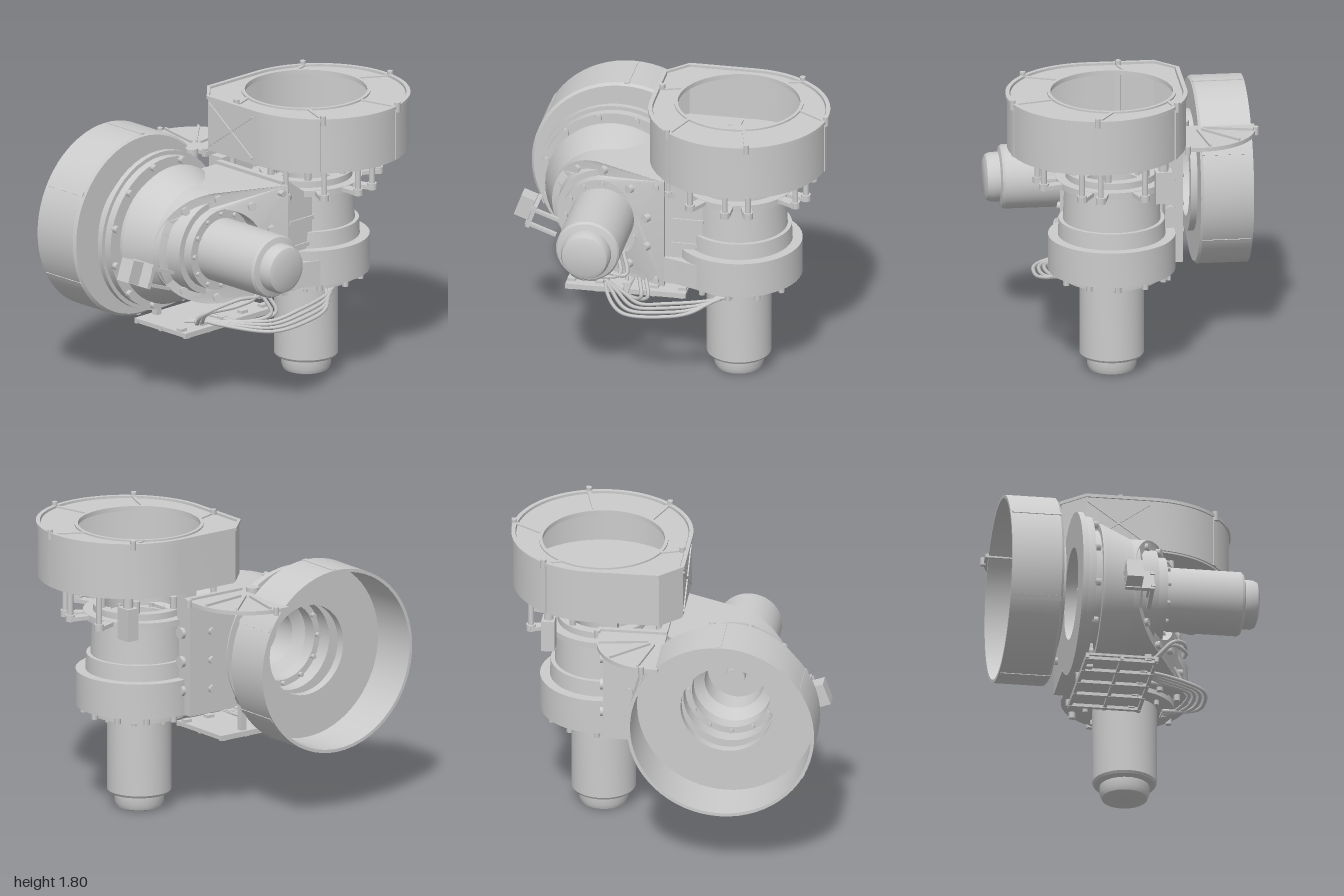
import * as THREE from 'three';
import { toCreasedNormals } from 'three/addons/utils/BufferGeometryUtils.js';

const mat = new THREE.MeshStandardMaterial({ color: 0xcccccc, side: THREE.DoubleSide });

function add(parent, name, geo, x = 0, y = 0, z = 0) {
  const m = new THREE.Mesh(geo, mat);
  m.name = name;
  m.position.set(x, y, z);
  parent.add(m);
  return m;
}
function group(name, x = 0, y = 0, z = 0) {
  const g = new THREE.Group();
  g.name = name;
  g.position.set(x, y, z);
  return g;
}
const points = list => list.map(p => new THREE.Vector2(...p));
const lathe = (pts, n = 48) => toCreasedNormals(new THREE.LatheGeometry(points(pts), n), 0.5);
const box = (parent, name, w, h, d, x, y, z) => add(parent, name, new THREE.BoxGeometry(w, h, d), x, y, z);
const cyl = (parent, name, r, h, x, y, z, n = 12) => add(parent, name, new THREE.CylinderGeometry(r, r, h, n), x, y, z);
const extrude = (shape, depth) =>
  toCreasedNormals(new THREE.ExtrudeGeometry(shape, { depth, bevelEnabled: false, curveSegments: 40 }), 0.5);
// extruded upwards from height y; the shape's y axis runs to the back
function slab(parent, name, shape, y, h) {
  add(parent, name, extrude(shape, h), 0, y, 0).rotation.x = -Math.PI / 2;
}
// calls fn for n places around the local y axis
function ring(n, r, fn, start = 0) {
  for (let i = 0; i < n; i++) {
    const a = start + i / n * Math.PI * 2;
    fn(r * Math.cos(a), r * Math.sin(a), a);
  }
}
function bolts(parent, n, r, y, h = 0.03, size = 0.02, start = 0) {
  ring(n, r, (x, z) => cyl(parent, 'bolt', size, h, x, y, z, 6), start);
}
function motor(parent) {
  add(parent, 'motor', lathe([[0, 0], [0.11, 0], [0.138, 0.012], [0.15, 0.04], [0.15, 0.09], [0.185, 0.1],
    [0.195, 0.115], [0.195, 0.62], [0, 0.62]], 36));
}

// Upright unit: motor below, gearbox, and posts that carry the drum
function uprightUnit() {
  const g = group('uprightUnit', 0.41, 0, 0.115);
  motor(g);
  add(g, 'gearbox', lathe([[0.19, 0.6], [0.3, 0.6], [0.3, 0.64], [0.385, 0.65], [0.385, 0.87], [0.325, 0.87],
    [0.32, 0.97], [0.295, 0.97], [0.285, 1.2], [0.34, 1.2], [0.34, 1.24], [0.28, 1.24], [0.28, 1.28],
    [0.22, 1.28], [0.22, 1.2], [0.17, 1.2], [0.17, 1.02], [0, 1.02]]));
  cyl(g, 'hub', 0.06, 0.1, 0, 1.06, 0, 20);
  bolts(g, 12, 0.34, 0.63, 0.05);
  bolts(g, 8, 0.24, 0.59, 0.04, 0.016);
  bolts(g, 12, 0.195, 1.21, 0.03, 0.012);
  bolts(g, 6, 0.25, 1.31, 0.09, 0.022, 0.2);
  for (const deg of [-20, 15, 30, 72, 90, 120, 150, 215]) ring(1, 0.45, (x, z, a) => {
    cyl(g, 'drumPost', 0.018, 0.22, x, 1.325, z);
    cyl(g, 'postFoot', 0.03, 0.04, x, 1.23, z);
    box(g, 'postArm', 0.17, 0.025, 0.06, x * 0.83, 1.225, z * 0.83).rotation.y = -a;
  }, deg * Math.PI / 180);
  box(g, 'sensorBody', 0.08, 0.2, 0.1, 0.3, 1.26, -0.28);
  cyl(g, 'sensorTop', 0.03, 0.1, 0.3, 1.39, -0.28);
  return g;
}

// Level unit: same kind of motor, wider flange and an open drum at the back
function levelUnit() {
  const g = group('levelUnit', -0.41, 0.97, 0.8);
  g.rotation.x = -Math.PI / 2;
  motor(g);
  add(g, 'gearbox', lathe([[0.19, 0.58], [0.25, 0.58], [0.25, 0.64], [0.29, 0.64], [0.3, 0.74], [0.345, 0.76],
    [0.35, 0.8], [0.43, 0.98], [0.43, 1.0], [0.39, 1.0], [0.39, 1.05], [0.47, 1.05], [0.47, 1.1], [0.495, 1.1],
    [0.495, 1.135], [0.28, 1.135], [0.28, 1.04], [0.24, 1.04], [0.24, 0.95], [0.18, 0.9], [0.18, 0.75], [0, 0.75]]));
  cyl(g, 'hub', 0.06, 0.12, 0, 0.8, 0, 20);
  bolts(g, 12, 0.225, 0.575, 0.03, 0.015);
  bolts(g, 12, 0.45, 1.04, 0.04, 0.024, 0.26);
  bolts(g, 12, 0.26, 1.05, 0.03, 0.015);
  add(g, 'openDrum', lathe([[0.28, 1.275], [0.28, 1.22], [0.37, 1.22], [0.37, 1.26], [0.555, 1.26], [0.57, 1.275],
    [0.57, 1.58], [0.55, 1.58], [0.545, 1.275], [0.28, 1.275]], 64));
  ring(6, 0.566, (x, z, a) => { box(g, 'drumRib', 0.015, 0.3, 0.03, x, 1.42, z).rotation.y = -a; }, 0.5);
  // bolts standing on the sloped housing face
  ring(10, 0.31, (x, z) => {
    cyl(g, 'faceBolt', 0.026, 0.04, x, 0.8 - 0.56 * (x + 0.35), z, 8).rotation.z = -0.51;
  }, 0.3);
  return g;
}

// Drum outline seen from above: a circle with a chamfered outlet corner
function drumOutline(inset, Type = THREE.Shape) {
  const s = new Type(), r = 0.54 - inset;
  s.moveTo(0.43, -0.21 + r);
  s.absarc(0.43, -0.21, r, Math.PI / 2, -Math.PI, true);
  s.lineTo(-0.11 + inset, 0.2);
  s.lineTo(0.02, 0.33 - inset);
  s.closePath();
  return s;
}
function pierced(shape, hole) {
  shape.holes.push(hole);
  return shape;
}
const circle = (r, Type = THREE.Path) => new Type().absarc(0.41, -0.115, r, 0, Math.PI * 2, false);

function upperDrum() {
  const g = group('upperDrum');
  slab(g, 'drumWall', pierced(drumOutline(0), drumOutline(0.015, THREE.Path)), 1.44, 0.33);
  slab(g, 'drumFloor', pierced(drumOutline(0.01), circle(0.22)), 1.43, 0.02);
  slab(g, 'floorRing', pierced(circle(0.3, THREE.Shape), circle(0.22)), 1.42, 0.05);
  slab(g, 'drumCover', pierced(drumOutline(0.02), circle(0.37)), 1.755, 0.012);
  slab(g, 'drumRim', pierced(drumOutline(-0.01), drumOutline(0.015, THREE.Path)), 1.76, 0.02);
  slab(g, 'coverLip', pierced(circle(0.39, THREE.Shape), circle(0.37)), 1.75, 0.028);
  // ribs on the cover, lugs on the rim and strips down the wall
  for (const a of [0.1, 1.3, 2.3, 3.5, 5.3]) {
    const c = Math.cos(a), s = Math.sin(a);
    const x0 = 0.41 + 0.38 * c, z0 = 0.115 + 0.38 * s, x1 = 0.43 + 0.53 * c, z1 = 0.21 + 0.53 * s;
    box(g, 'coverRib', Math.hypot(x1 - x0, z1 - z0), 0.012, 0.02, (x0 + x1) / 2, 1.77, (z0 + z1) / 2)
      .rotation.y = -Math.atan2(z1 - z0, x1 - x0);
    cyl(g, 'rimLug', 0.018, 0.06, 0.43 + 0.545 * c, 1.77, 0.21 + 0.545 * s, 8);
    box(g, 'wallStrip', 0.02, 0.32, 0.035, 0.43 + 0.537 * c, 1.6, 0.21 + 0.537 * s).rotation.y = -a;
  }
  for (const t of [-1, 1]) box(g, 'outletBrace', 0.015, 0.012, 0.46, -0.11, 1.6, 0).rotation.x = t * 0.62;
  return g;
}

// Housing that joins both units, its front sloping away to the outer side
function housing(parent) {
  const s = new THREE.Shape();
  s.moveTo(0, 1.32);
  s.lineTo(0, 0.62);
  s.lineTo(-0.41, 0.62);
  s.absarc(-0.41, 0.97, 0.35, -Math.PI / 2, -Math.PI * 1.5, true);
  s.holes.push(new THREE.Path().absarc(-0.41, 0.97, 0.245, 0, Math.PI * 2, false));
  const geo = new THREE.ExtrudeGeometry(s, { depth: 1, bevelEnabled: false, curveSegments: 24 });
  const p = geo.attributes.position;
  for (let i = 0; i < p.count; i++) {
    p.setZ(i, p.getZ(i) > 0.5 ? Math.min(0.38, 0.56 * (p.getX(i) + 0.76)) : -0.22);
  }
  add(parent, 'slopedHousing', toCreasedNormals(geo, 0.5));
  const bridge = new THREE.Shape(points([[-0.02, 0.63], [0.23, 0.63], [0.23, 1.22], [0.16, 1.24], [0.02, 1.34], [-0.02, 1.34]]));
  add(parent, 'bridgeHousing', extrude(bridge, 0.57), 0, 0, -0.22);
  // lower gearbox band carried across to the bridge
  slab(parent, 'lowerBand', new THREE.Shape(points([[0, -0.37], [0.1, -0.4], [0.3, -0.48], [0.41, -0.49],
    [0.41, 0.25], [0, 0.22]])), 0.65, 0.16);
  box(parent, 'housingRib', 0.2, 0.025, 0.03, 0.14, 0.9, 0.345);
  box(parent, 'housingRib', 0.2, 0.025, 0.03, 0.14, 1.06, 0.345);
  for (const y of [0.66, 1.28]) cyl(parent, 'housingBolt', 0.02, 0.04, -0.05, y, 0.38, 6).rotation.x = Math.PI / 2;
  box(parent, 'rearBracket', 0.34, 0.7, 0.11, 0.19, 1.0, -0.27);
  for (const y of [0.8, 0.98, 1.16]) {
    cyl(parent, 'bracketBoss', 0.035, 0.03, 0.37, y, -0.25).rotation.z = Math.PI / 2;
    cyl(parent, 'bracketBolt', 0.025, 0.04, 0.2, y, -0.325, 6).rotation.x = Math.PI / 2;
  }
  box(parent, 'drumBracket', 0.08, 0.32, 0.09, 0.32, 1.3, -0.24);
  cyl(parent, 'drumStud', 0.04, 0.2, -0.08, 1.3, -0.37);
}

// Curved plate between the two drums
function linkPlate(parent) {
  const s = new THREE.Shape(points([[-0.03, 0.8], [-0.03, 0.3], [0.38, 0.3]]));
  s.absarc(0.02, 0.44, 0.36, 0, Math.PI / 2, false);
  slab(parent, 'linkPlate', s, 1.355, 0.025);
  box(parent, 'plateEdge', 0.42, 0.05, 0.03, 0.18, 1.37, -0.32);
  for (const a of [0.15, 0.75, 1.35]) {
    box(parent, 'plateRib', 0.3, 0.02, 0.015, 0.02 + 0.2 * Math.cos(a), 1.385, -0.44 - 0.2 * Math.sin(a)).rotation.y = a;
  }
  for (const [x, z] of [[0.07, -0.8], [0.39, -0.35]]) cyl(parent, 'plateBolt', 0.018, 0.05, x, 1.37, z, 8);
}

function cable(parent, pts) {
  const c = new THREE.CatmullRomCurve3(pts.map(q => new THREE.Vector3(...q)));
  add(parent, 'cable', new THREE.TubeGeometry(c, 36, 0.012, 6));
}
function wiring(parent) {
  box(parent, 'cableTray', 0.74, 0.015, 0.44, -0.28, 0.465, -0.06);
  for (let i = 0; i < 5; i++) {
    box(parent, 'trayRib', 0.025, 0.035, 0.44, -0.62 + i * 0.17, 0.455, -0.06);
    box(parent, 'trayClip', 0.05, 0.04, 0.04, -0.62 + i * 0.17, 0.47, 0.1);
  }
  for (const z of [-0.27, -0.06, 0.15]) box(parent, 'trayRail', 0.74, 0.03, 0.02, -0.28, 0.455, z);
  for (const x of [-0.5, -0.1]) box(parent, 'trayHanger', 0.04, 0.22, 0.04, x, 0.55, -0.24);
  for (let i = 0; i < 4; i++) {
    const d = i * 0.03;
    cable(parent, [[0.45 - d, 0.59, 0.34], [0.28 - d, 0.57 - d / 2, 0.42 + d], [0.02, 0.54 - d / 2, 0.45 + d],
      [-0.14 - d, 0.5 - d / 3, 0.4 + d], [-0.3 - d, 0.48, 0.2], [-0.5 + d, 0.48, 0]]);
  }
  for (const d of [0, 0.04]) {
    cable(parent, [[-0.3 + d, 0.8, 0.32], [-0.27 + d, 0.68, 0.38], [-0.4, 0.64 + d, 0.36],
      [-0.55 - d, 0.6, 0.25], [-0.5 - d, 0.51, 0.15], [-0.4, 0.48, 0]]);
    cable(parent, [[-0.12 - d, 0.64, 0.33], [-0.1 - d, 0.54, 0.38], [-0.25, 0.48, 0.25], [-0.3 + d, 0.48, 0]]);
  }
  // side connector on two stays
  const g = group('sideConnector', -0.9, 0.88, 0);
  g.rotation.z = -0.35;
  box(g, 'connectorBody', 0.09, 0.14, 0.1, -0.03, 0, -0.03);
  box(g, 'connectorPlate', 0.025, 0.15, 0.18, 0.03, 0, 0.01);
  for (const y of [-0.05, 0.05]) box(g, 'connectorStay', 0.2, 0.02, 0.025, 0.11, y, 0.09);
  parent.add(g);
}

export function createModel() {
  const model = group('twinDriveUnit');
  model.add(uprightUnit(), levelUnit(), upperDrum());
  for (const build of [housing, linkPlate, wiring]) build(model);
  return model;
}
